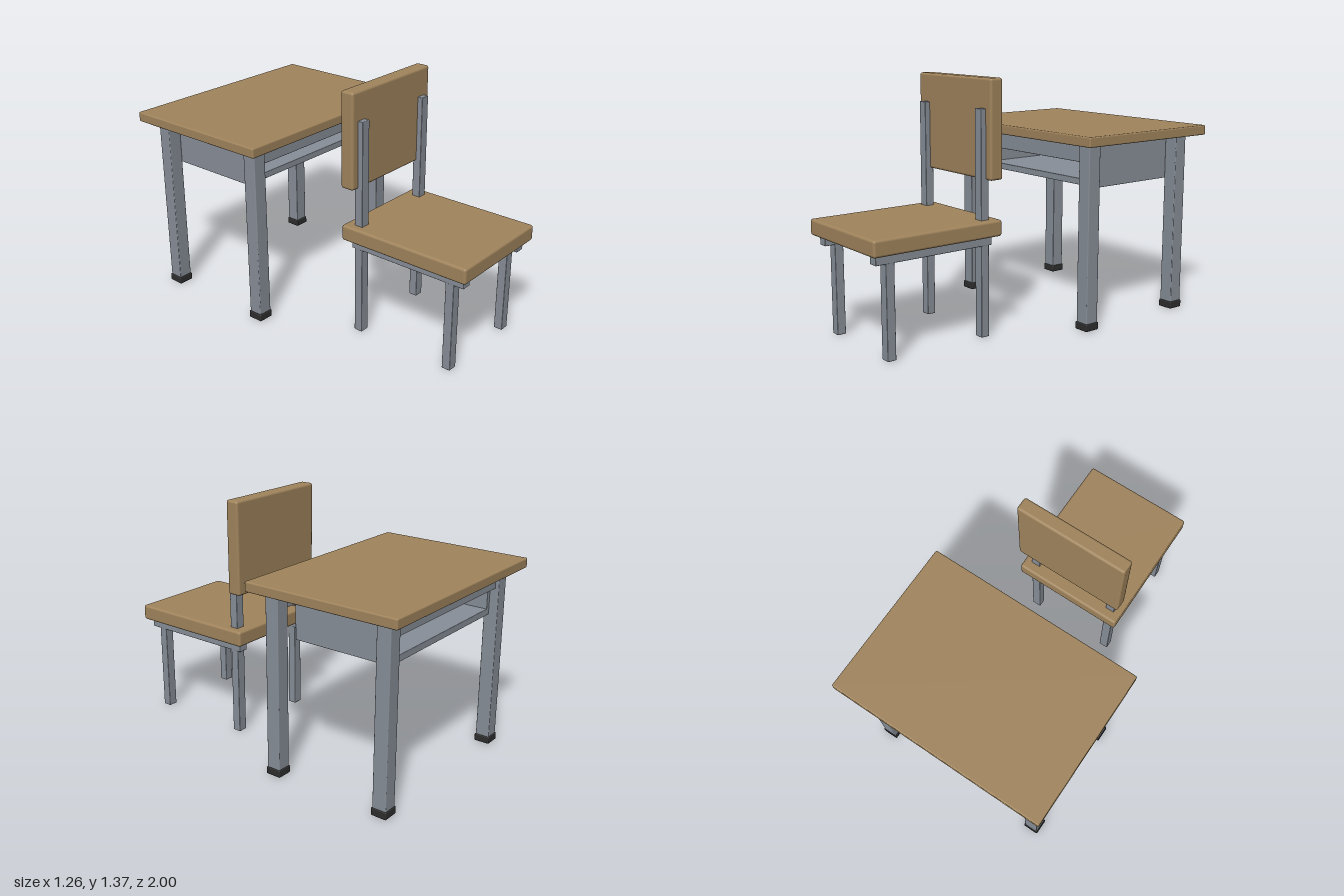
import * as THREE from 'three';
import { RoundedBoxGeometry } from 'three/addons/geometries/RoundedBoxGeometry.js';

export function createModel() {
  const material = (name, color) => {
    const m = new THREE.MeshStandardMaterial({ color });
    m.name = name;
    return m;
  };
  const wood = material('wood', 0xa0845c);
  const metal = material('grey metal', 0x888f98);
  const rubber = material('black rubber', 0x2e2e2e);

  const model = new THREE.Group();
  model.name = 'schoolDeskAndChair';
  const desk = new THREE.Group();
  desk.name = 'desk';
  const chair = new THREE.Group();
  chair.name = 'chair';
  model.add(desk, chair);

  // Softly rounded box given by its extents along x, y and z
  function slab(parent, name, mat, [x0, x1], [y0, y1], [z0, z1], radius = 0.004) {
    const geometry = new RoundedBoxGeometry(x1 - x0, y1 - y0, z1 - z0, 2, radius);
    const mesh = new THREE.Mesh(geometry, mat);
    mesh.position.set((x0 + x1) / 2, (y0 + y1) / 2, (z0 + z1) / 2);
    mesh.name = name;
    parent.add(mesh);
  }
  // The same box on both sides, mirrored across x = 0
  function pair(parent, name, mat, [x0, x1], y, z, radius) {
    slab(parent, name + 'Left', mat, [x0, x1], y, z, radius);
    slab(parent, name + 'Right', mat, [-x1, -x0], y, z, radius);
  }

  // Desk: top, legs with rubber feet, and a rail between each pair of legs
  slab(desk, 'deskTop', wood, [-0.63, 0.63], [1.015, 1.07], [-1, -0.1], 0.008);
  for (const [end, z] of [['Front', -0.21], ['Back', -0.88]]) {
    pair(desk, 'deskLeg' + end, metal, [0.475, 0.555], [0.01, 1.016], [z - 0.04, z + 0.04], 0.005);
    pair(desk, 'foot' + end, rubber, [0.47, 0.56], [0, 0.042], [z - 0.045, z + 0.045], 0.006);
    slab(desk, 'rail' + end, metal, [-0.48, 0.48], [0.915, 1.01], [z - 0.02, z + 0.02], 0.003);
  }

  // Book tray, open at the front and back
  pair(desk, 'traySide', metal, [0.45, 0.476], [0.765, 1.016], [-0.87, -0.3], 0.002);
  slab(desk, 'trayFloor', metal, [-0.46, 0.46], [0.764, 0.8], [-0.87, -0.3], 0.002);

  // Chair: seat and backrest
  slab(chair, 'seat', wood, [-0.323, 0.323], [0.547, 0.635], [0.225, 1], 0.014);
  slab(chair, 'backrest', wood, [-0.323, 0.323], [0.845, 1.37], [0.22, 0.3], 0.014);

  // Chair frame: front legs, rear posts up to the backrest, rails under the seat
  const frameX = [0.226, 0.28];
  pair(chair, 'frontLeg', metal, frameX, [0, 0.51], [0.86, 0.91]);
  pair(chair, 'backPost', metal, frameX, [0, 1.215], [0.28, 0.33]);
  pair(chair, 'seatRail', metal, [0.225, 0.281], [0.498, 0.555], [0.262, 0.967]);

  return model;
}
